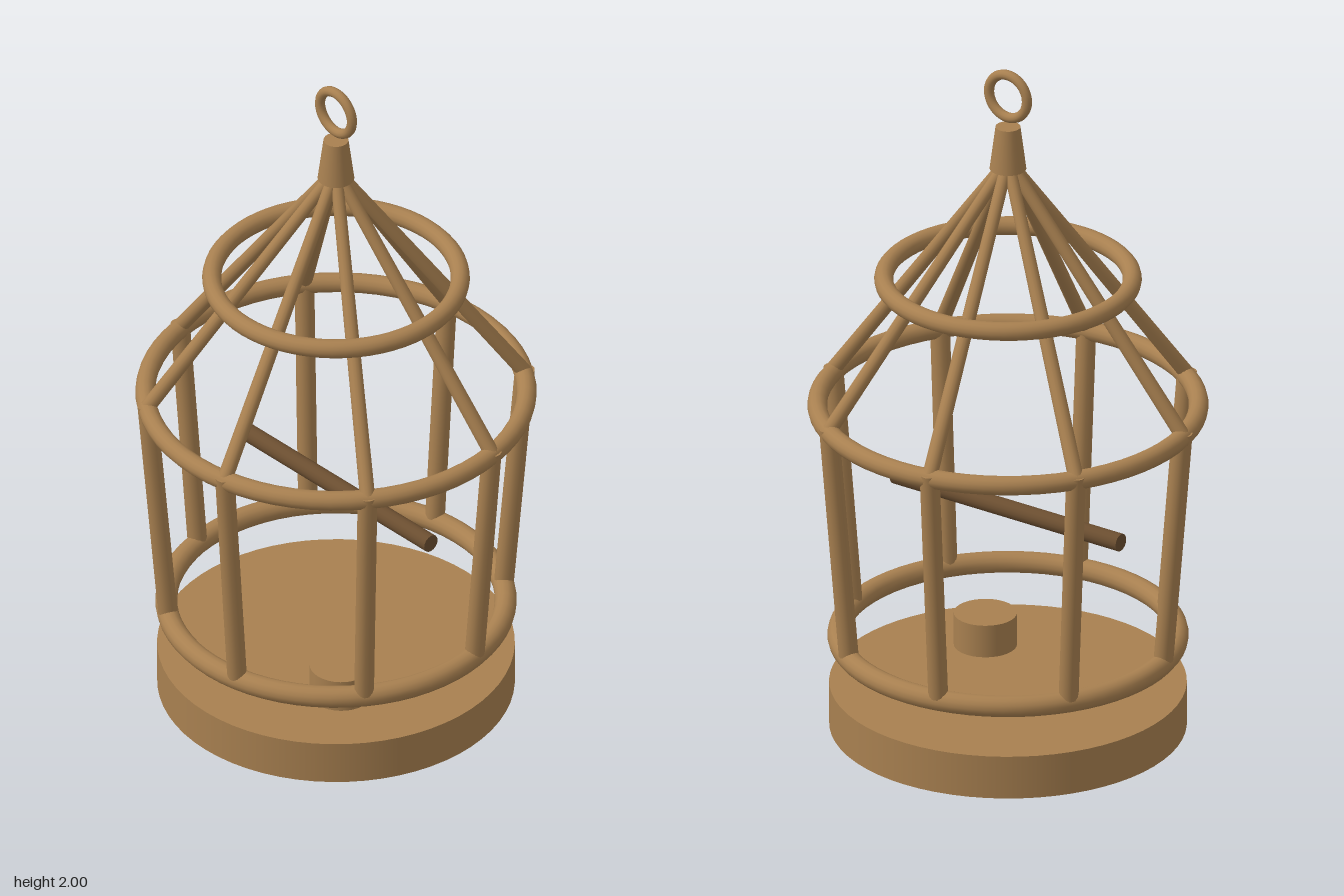
import * as THREE from 'three';

export function createModel() {
  const model = new THREE.Group();
  model.name = 'birdcage';
  const wood = new THREE.MeshStandardMaterial({ color: 0xa88050 });
  wood.name = 'warm wood';
  const darkWood = new THREE.MeshStandardMaterial({ color: 0x6b4e30 });
  darkWood.name = 'dark wood';

  const add = (name, geometry, material = wood, x = 0, y = 0, z = 0) => {
    const mesh = new THREE.Mesh(geometry, material);
    mesh.name = name;
    mesh.position.set(x, y, z);
    model.add(mesh);
    return mesh;
  };

  // Horizontal hoop at height y
  const hoop = (name, y, radius, tube) =>
    add(name, new THREE.TorusGeometry(radius, tube, 14, 64).rotateX(Math.PI / 2), wood, 0, y, 0);

  // Straight tapered rod between two points
  const rod = (name, a, b, ra, rb) => {
    const dir = b.clone().sub(a);
    const mesh = add(name, new THREE.CylinderGeometry(rb, ra, dir.length(), 14), wood);
    mesh.position.copy(a).add(b).multiplyScalar(0.5);
    mesh.quaternion.setFromUnitVectors(new THREE.Vector3(0, 1, 0), dir.normalize());
  };

  // Base, foot ring and feeding cup
  add('base', new THREE.CylinderGeometry(0.485, 0.485, 0.125, 64), wood, 0, 0.11, 0);
  hoop('footRing', 0.027, 0.174, 0.027);
  add('feedingCup', new THREE.CylinderGeometry(0.086, 0.086, 0.1, 32), wood, 0.185, 0.217, 0.155);

  // Cage hoops
  hoop('lowerHoop', 0.312, 0.46, 0.03);
  hoop('middleHoop', 1.0, 0.517, 0.027);
  hoop('upperHoop', 1.377, 0.337, 0.026);

  // Eight side bars, each with a roof bar leading to the peak
  for (let i = 0; i < 8; i++) {
    const angle = -0.195 + (i * Math.PI) / 4;
    const at = (r, y) => new THREE.Vector3(r * Math.cos(angle), y, r * Math.sin(angle));
    rod('sideBar', at(0.462, 0.325), at(0.519, 1.015), 0.027, 0.027);
    rod('roofBar', at(0.52, 1.005), at(0.012, 1.715), 0.021, 0.017);
  }

  // Perch
  add('perch', new THREE.CylinderGeometry(0.025, 0.025, 0.75, 16).rotateZ(Math.PI / 2), darkWood, 0, 0.688, 0);

  // Finial and hanging ring
  add('finial', new THREE.CylinderGeometry(0.034, 0.05, 0.125, 24), wood, 0, 1.77, 0);
  add('hangingRing', new THREE.TorusGeometry(0.063, 0.014, 12, 40), wood, 0, 1.923, 0);

  return model;
}
